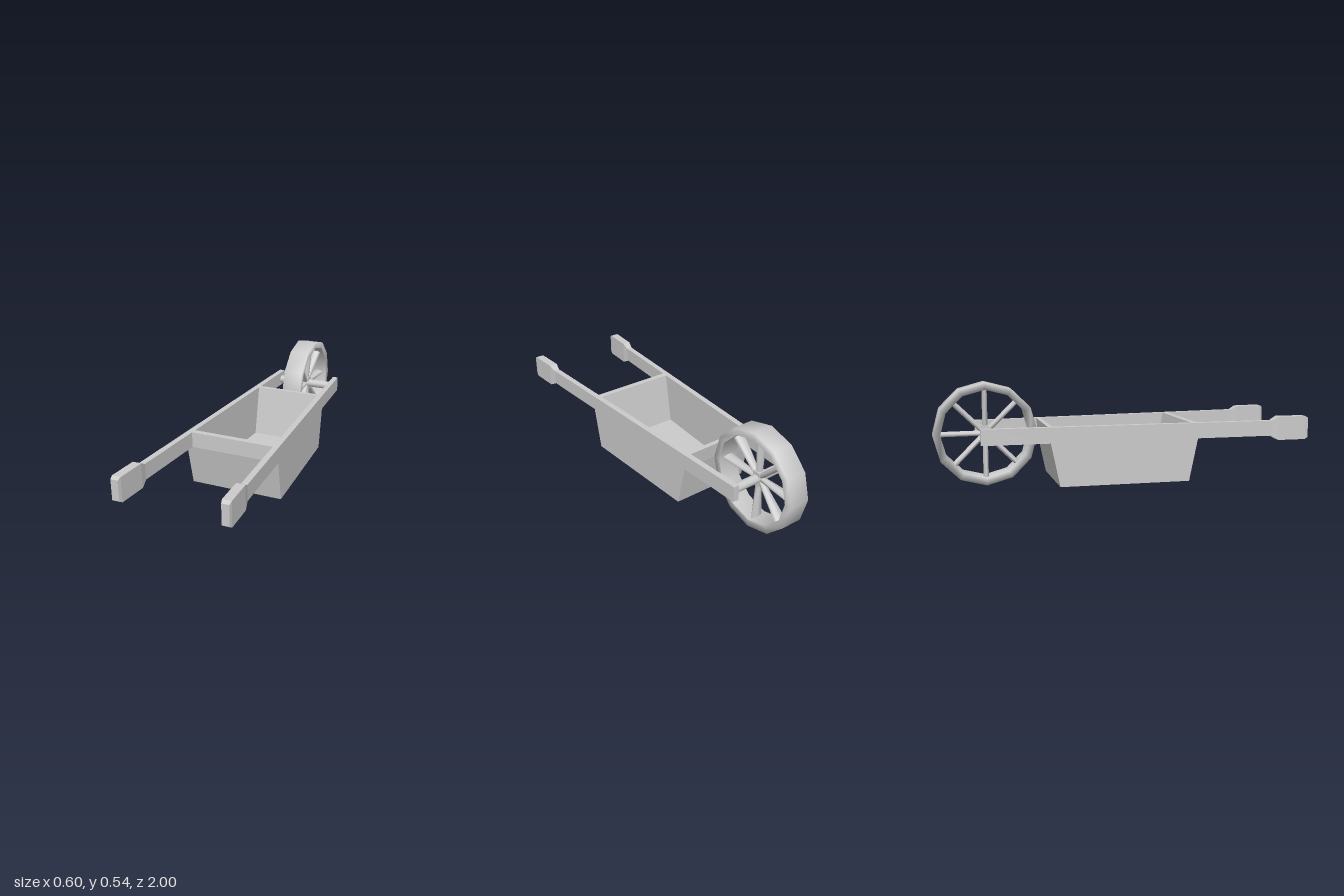
import * as THREE from 'three';

const material = new THREE.MeshStandardMaterial({ color: 0xcccccc, side: THREE.DoubleSide });
const RAIL = 0.031;
// Rails spread apart toward the handles
const outer = z => 0.238 + 0.054 * z;
const inner = z => outer(z) - RAIL;

function add(parent, name, geometry) {
  const mesh = new THREE.Mesh(geometry, material);
  mesh.name = name;
  parent.add(mesh);
  return mesh;
}

// Moves every vertex by a rule and refreshes the normals
function reshape(geometry, rule) {
  const g = geometry.index ? geometry.toNonIndexed() : geometry;
  const p = g.attributes.position;
  for (let i = 0; i < p.count; i++) p.setXYZ(i, ...rule(p.getX(i), p.getY(i), p.getZ(i)));
  g.computeVertexNormals();
  return g;
}

// Extrudes a side outline of [z, y] points across x from 0 to 1, then places x by a rule
function sidePanel(points, xRule) {
  const shape = new THREE.Shape(points.map(([z, y]) => new THREE.Vector2(-z, y)));
  const g = new THREE.ExtrudeGeometry(shape, { depth: 1, bevelEnabled: false });
  g.rotateY(Math.PI / 2);
  return reshape(g, (x, y, z) => [xRule(x, z), y, z]);
}

export function createModel() {
  const model = new THREE.Group();
  model.name = 'wheelbarrow';

  // Rail and tub side in one outline, one per side
  const sideOutline = [
    [0.8, 0.318], [-0.77, 0.318], [-0.77, 0.235], [-0.42, 0.235],
    [-0.373, 0.006], [0.32, 0.006], [0.367, 0.235], [0.8, 0.235],
  ];
  add(model, 'leftSide', sidePanel(sideOutline, (w, z) => inner(z) + w * RAIL));
  add(model, 'rightSide', sidePanel(sideOutline, (w, z) => -outer(z) + w * RAIL));

  // Tub floor with sloping front and back walls
  const tubOutline = [
    [0.367, 0.318], [0.335, 0.318], [0.285, 0.036], [-0.355, 0.036], [-0.405, 0.318],
    [-0.43, 0.318], [-0.42, 0.235], [-0.373, 0.006], [0.32, 0.006], [0.367, 0.235],
  ];
  add(model, 'tub', sidePanel(tubOutline, (w, z) => (2 * w - 1) * inner(z)));

  // Grips: [z, half width, half height] sections along the rail
  const sections = [
    [0.785, 0.0155, 0.042], [0.825, 0.023, 0.064], [0.982, 0.023, 0.064], [1.0, 0.019, 0.053],
  ];
  for (const side of [1, -1]) {
    const grip = reshape(new THREE.BoxGeometry(1, 1, 1, 1, 1, 3), (x, y, z) => {
      const [pz, hw, hh] = sections[Math.round((z + 0.5) * 3)];
      return [side * (outer(pz) - RAIL / 2) + 2 * x * hw, 0.275 + 2 * y * hh, pz];
    });
    add(model, side > 0 ? 'leftGrip' : 'rightGrip', grip);
  }

  // Wheel
  const wheel = new THREE.Group();
  wheel.name = 'wheel';
  wheel.position.set(0, 0.272, -0.73);
  model.add(wheel);

  const profile = [[0.232, -0.056], [0.27, -0.056], [0.27, 0.056], [0.232, 0.056], [0.232, -0.056]]
    .map(([r, h]) => new THREE.Vector2(r, h));
  add(wheel, 'rim', new THREE.LatheGeometry(profile, 12)).rotation.z = Math.PI / 2;

  // Spokes widen across the rim
  const spoke = new THREE.CylinderGeometry(0.014, 0.014, 0.232, 8);
  spoke.translate(0, 0.118, 0);
  const sp = spoke.attributes.position;
  for (let i = 0; i < sp.count; i++) sp.setX(i, sp.getX(i) * (1 + 1.5 * sp.getY(i) / 0.234));
  spoke.computeVertexNormals();
  for (let i = 0; i < 8; i++) add(wheel, 'spoke', spoke).rotation.x = i * Math.PI / 4;

  add(wheel, 'hub', new THREE.BoxGeometry(0.045, 0.08, 0.04));
  const axle = new THREE.CylinderGeometry(0.024, 0.024, 0.35, 12);
  add(wheel, 'axle', axle).rotation.z = Math.PI / 2;

  return model;
}
